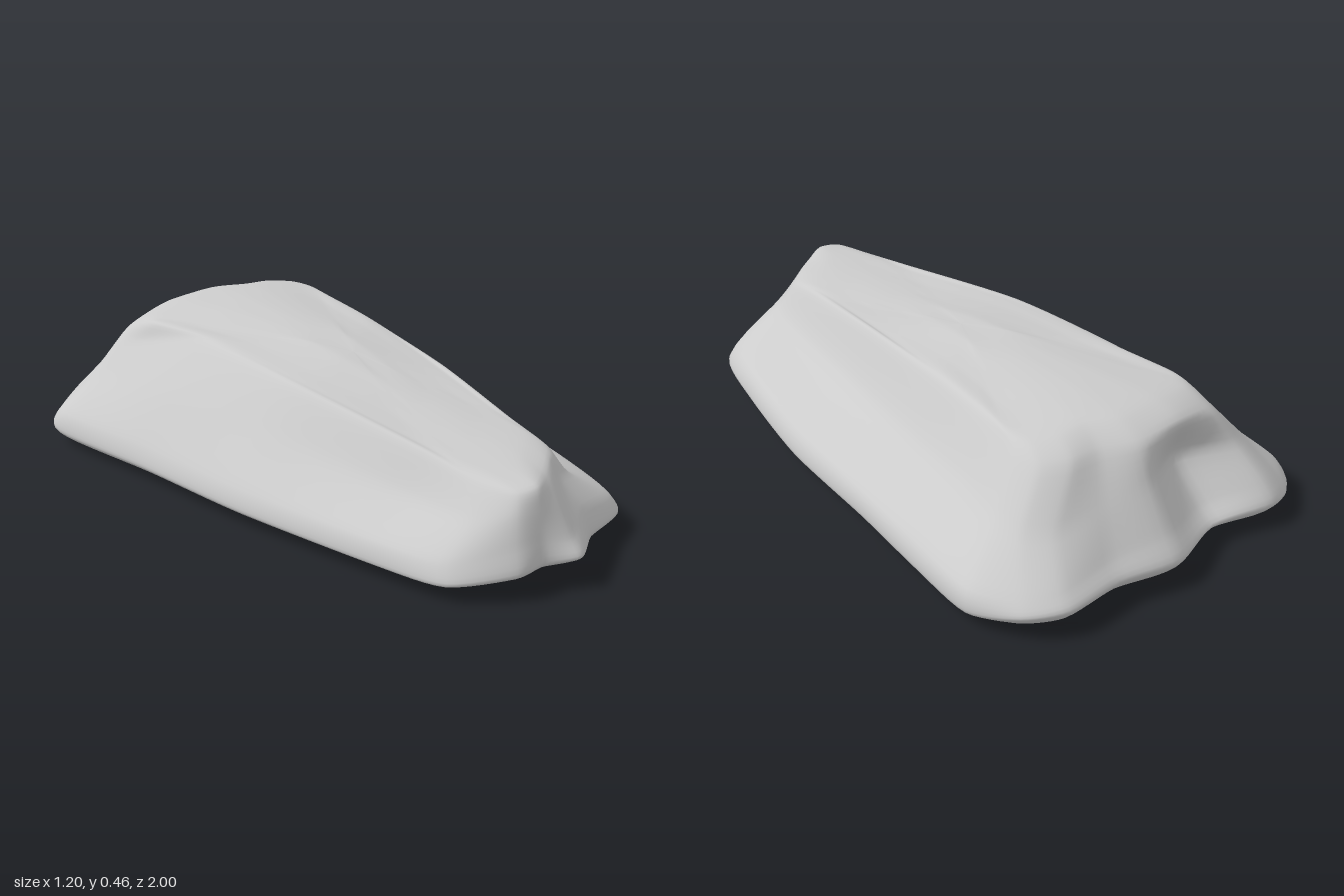
import * as THREE from 'three';

// Contours [x, y, z], clockwise from the rear right corner; all share the same ordering.
const rim = [
  [-.6, .055, -.82], [-.53, .065, -.93], [-.42, .08, -.97], [-.22, .07, -.92], [0, .09, -1], [.2, .09, -.96],
  [.4, .09, -.97], [.52, .08, -.9], [.595, .055, -.75], [.58, .055, -.5], [.55, .055, -.2], [.52, .055, .2],
  [.45, .055, .55], [.37, .06, .81], [.15, .08, .9], [0, .1, 1], [-.1, .09, .95], [-.2, .08, .94],
  [-.36, .06, .82], [-.42, .055, .58], [-.51, .055, .05], [-.55, .055, -.4],
];
const shoulder = [
  [-.58, .12, -.8], [-.51, .13, -.89], [-.41, .15, -.93], [-.22, .12, -.86], [0, .17, -.95], [.2, .15, -.92],
  [.39, .14, -.93], [.5, .125, -.88], [.58, .125, -.74], [.56, .125, -.5], [.53, .125, -.2], [.49, .125, .2],
  [.42, .12, .55], [.34, .12, .79], [.14, .16, .87], [0, .15, .96], [-.1, .17, .94], [-.19, .16, .92],
  [-.34, .12, .8], [-.4, .12, .58], [-.49, .12, .05], [-.53, .12, -.4],
];
const upperWall = [
  [-.46, .24, -.73], [-.44, .25, -.8], [-.37, .26, -.84], [-.2, .25, -.76], [0, .3, -.87], [.17, .27, -.85],
  [.33, .25, -.83], [.41, .25, -.77], [.43, .26, -.67], [.4, .265, -.5], [.36, .25, -.2], [.3, .235, .2],
  [.24, .21, .55], [.2, .22, .75], [.1, .25, .81], [0, .24, .9], [-.09, .25, .92], [-.17, .25, .9],
  [-.25, .22, .79], [-.28, .22, .55], [-.37, .27, .05], [-.43, .265, -.4],
];
const topEdge = [
  [-.36, .355, -.69], [-.35, .365, -.76], [-.31, .375, -.79], [-.17, .4, -.81], [0, .405, -.82], [.12, .4, -.77],
  [.22, .4, -.76], [.3, .395, -.71], [.32, .4, -.62], [.29, .415, -.45], [.26, .41, -.2], [.21, .385, .2],
  [.16, .335, .55], [.14, .31, .72], [.08, .31, .78], [0, .305, .84], [-.08, .31, .89], [-.15, .305, .87],
  [-.19, .305, .75], [-.21, .335, .55], [-.28, .395, .05], [-.31, .41, -.4],
];

// Height of the crest along z
const crestLine = new THREE.SplineCurve([[-.9, .44], [-.6, .462], [-.3, .455], [0, .432], [.3, .382], [.6, .346], [.9, .32]]
  .map(p => new THREE.Vector2(...p)));
const crest = z => crestLine.getPoint(THREE.MathUtils.clamp((z + .9) / 1.8, 0, 1)).y;

// Nested copies of a ring, shrunk towards the centre; the underside rises a little to the front
const underside = (s, lift) => rim.map(([x, , z]) =>
  [x * s, .01 + .01 * z + lift + .2 * Math.max(0, z * s - .8), z * s]);
const topSurface = (s, drop) => topEdge.map(([x, , z]) => [x * s, crest(z * s) - drop * x * x, z * s]);

// Lofts a smooth skin through closed rings, from the underside up to the crest
function loft(rings, around, between) {
  const curves = rings.map(r => new THREE.CatmullRomCurve3(
    r.map(p => new THREE.Vector3(...p)), true, 'catmullrom', 0.36));
  const rows = (rings.length - 1) * between;
  const positions = [], index = [];
  for (let i = 0; i < around; i++) {
    const column = new THREE.CatmullRomCurve3(
      curves.map(c => c.getPoint(i / around)), false, 'catmullrom', 0.35);
    for (let j = 0; j <= rows; j++) positions.push(...column.getPoint(j / rows).toArray());
  }
  for (let i = 0; i < around; i++) {
    const a = i * (rows + 1), b = ((i + 1) % around) * (rows + 1);
    for (let j = 0; j < rows; j++) {
      index.push(a + j, a + j + 1, b + j, b + j, a + j + 1, b + j + 1);
    }
  }
  const geometry = new THREE.BufferGeometry();
  geometry.setAttribute('position', new THREE.Float32BufferAttribute(positions, 3));
  geometry.setIndex(index);
  geometry.computeVertexNormals();
  return geometry;
}

export function createModel() {
  const group = new THREE.Group();
  group.name = 'rock';

  const rings = [
    rim.map(() => [0, .01, 0]), underside(.4, 0), underside(.75, .003), underside(.93, .02),
    rim, shoulder, upperWall, topEdge,
    topSurface(.88, .25), topSurface(.65, .2), topSurface(.4, .1), topSurface(.2, 0), topSurface(0, 0),
  ];
  const geometry = loft(rings, rim.length * 6, 5);
  geometry.computeBoundingBox();
  geometry.translate(0, -geometry.boundingBox.min.y, 0);

  const body = new THREE.Mesh(geometry, new THREE.MeshStandardMaterial({ color: 0xcccccc }));
  body.name = 'rockBody';
  group.add(body);
  return group;
}
